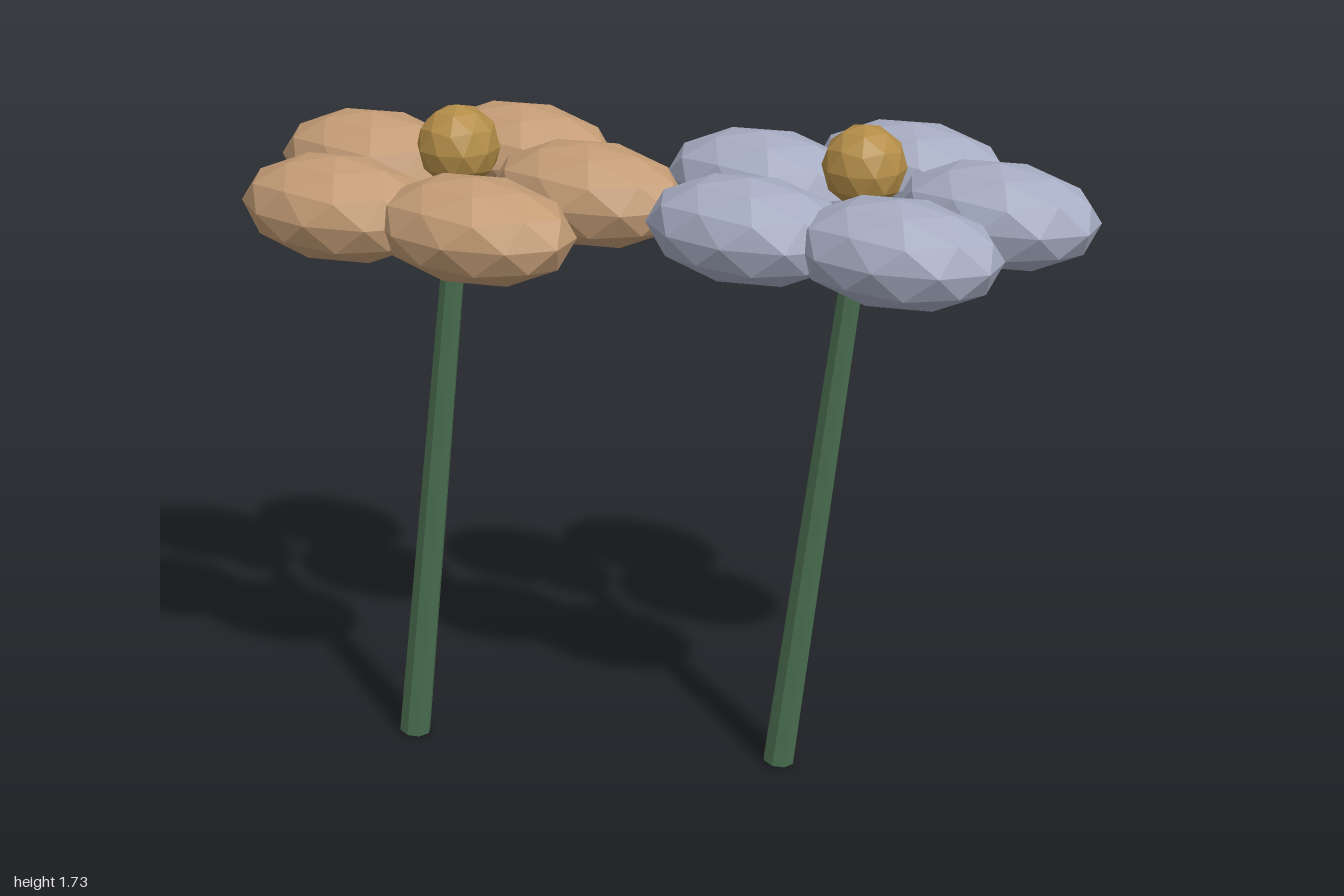
import * as THREE from 'three';

const flat = (name, color) => {
  const m = new THREE.MeshStandardMaterial({ color, flatShading: true });
  m.name = name;
  return m;
};

export function createModel() {
  const green = flat('stem green', 0x4a6e50);
  const tan = flat('petal tan', 0xc49c76);
  const blue = flat('petal blue grey', 0xa6acc2);
  const gold = flat('centre gold', 0xb38d48);

  // Faceted ball with a corner at each pole, scaled for petals and centres
  const ball = new THREE.IcosahedronGeometry(1, 1);
  ball.rotateZ(-Math.atan(2 / (1 + Math.sqrt(5))));

  // Tapered stem whose origin is at its base
  const stemGeometry = new THREE.CylinderGeometry(0.028, 0.041, 1.5, 8);
  stemGeometry.translate(0, 0.75, 0);

  function flower(name, petalMaterial, x, z) {
    const group = new THREE.Group();
    group.name = name;
    group.position.set(x, 0, z);

    // Leaning stem
    const stem = new THREE.Mesh(stemGeometry, green);
    stem.name = 'stem';
    stem.position.set(-0.188, 0.005, 0);
    stem.rotation.z = -0.122;
    group.add(stem);

    // Five petals in a ring, all lying along x
    for (let i = 0; i < 5; i++) {
      const a = (i / 5) * Math.PI * 2;
      const petal = new THREE.Mesh(ball, petalMaterial);
      petal.name = 'petal' + (i + 1);
      petal.scale.set(0.25, 0.125, 0.156);
      petal.position.set(0.31 * Math.sin(a), 1.525, -0.31 * Math.cos(a));
      group.add(petal);
    }

    // Flower centre
    const centre = new THREE.Mesh(ball, gold);
    centre.name = 'flowerCentre';
    centre.scale.setScalar(0.1);
    centre.position.y = 1.63;
    group.add(centre);
    return group;
  }

  const model = new THREE.Group();
  model.name = 'flowers';
  model.add(flower('tanFlower', tan, -0.463, 0.163));
  model.add(flower('blueFlower', blue, 0.463, -0.107));
  return model;
}
